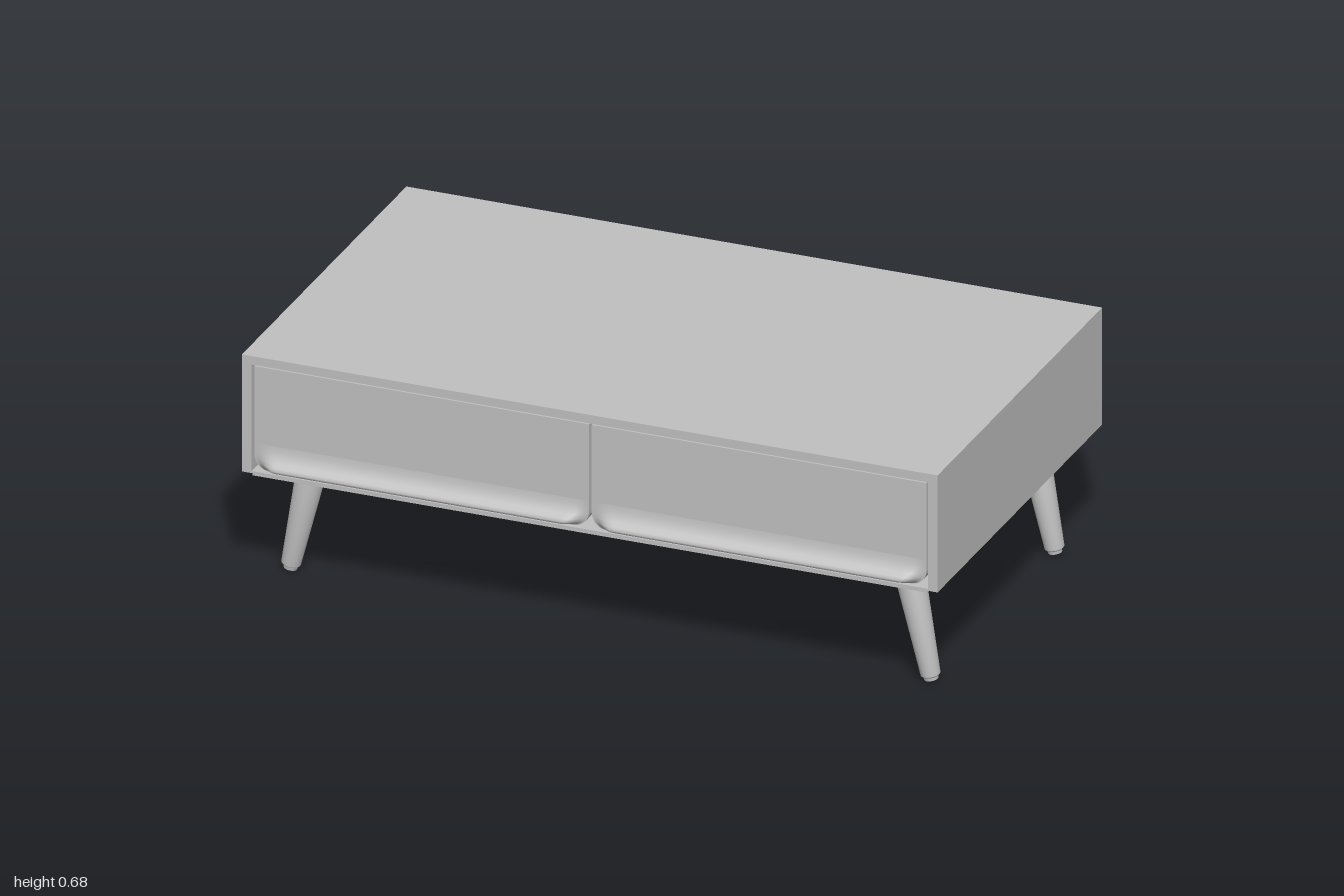
import * as THREE from 'three';

export function createModel() {
  const model = new THREE.Group();
  const grey = new THREE.MeshStandardMaterial({ color: 0xc0c0c0 });
  grey.name = 'plain grey';
  grey.side = THREE.DoubleSide;

  const add = (parent, name, geometry, x = 0, y = 0, z = 0) => {
    const mesh = new THREE.Mesh(geometry, grey);
    mesh.name = name;
    mesh.position.set(x, y, z);
    parent.add(mesh);
    return mesh;
  };
  const box = (parent, name, w, h, d, x, y, z) =>
    add(parent, name, new THREE.BoxGeometry(w, h, d), x, y, z);

  // Case: four-sided tube, open at the front, with a back panel
  const BOTTOM = 0.332, TOP = 0.675, FRONT = 0.56, BACK = -0.585;
  const outline = new THREE.Shape([[-1, BOTTOM], [1, BOTTOM], [1, TOP], [-1, TOP]]
    .map(p => new THREE.Vector2(...p)));
  outline.holes.push(new THREE.Path([[-0.972, 0.338], [-0.972, 0.65], [0.972, 0.65], [0.972, 0.338]]
    .map(p => new THREE.Vector2(...p))));
  add(model, 'caseShell',
    new THREE.ExtrudeGeometry(outline, { depth: FRONT - BACK, bevelEnabled: false }), 0, 0, BACK);
  box(model, 'backPanel', 1.944, 0.312, 0.02, 0, 0.494, BACK + 0.011);
  box(model, 'bottomPanel', 1.94, 0.008, 1.1, 0, 0.329, 0.008);

  // Drawer front: a slab with rounded lower corners and a flared finger lip
  const W = 0.962, Y0 = 0.343, Y1 = 0.645, R = 0.045, FACE = 0.556;
  const slab = new THREE.Shape();
  slab.moveTo(-W / 2, Y1);
  slab.lineTo(-W / 2, Y0 + R);
  slab.absarc(-W / 2 + R, Y0 + R, R, Math.PI, Math.PI * 1.5, false);
  slab.lineTo(W / 2 - R, Y0);
  slab.absarc(W / 2 - R, Y0 + R, R, Math.PI * 1.5, Math.PI * 2, false);
  slab.lineTo(W / 2, Y1);
  const slabGeometry = new THREE.ExtrudeGeometry(slab, { depth: 0.03, bevelEnabled: false, curveSegments: 10 });

  // Lip profile as [height, projection], from the face down to the lower edge
  const profile = [[0.42, 0.0003], [0.405, 0.002], [0.39, 0.007], [0.378, 0.014],
    [0.366, 0.023], [0.358, 0.027], [0.352, 0.025], [0.347, 0.016], [Y0, 0]];
  const columns = 48;
  const lipGeometry = new THREE.PlaneGeometry(1, 1, columns, profile.length - 1);
  const pos = lipGeometry.attributes.position;
  for (let i = 0; i < pos.count; i++) {
    const [y, out] = profile[Math.floor(i / (columns + 1))];
    const t = (i % (columns + 1)) / columns * 2 - 1;
    const dy = Math.max(0, Y0 + R - y);
    const half = W / 2 - R + Math.sqrt(Math.max(0, R * R - dy * dy));
    // columns crowd towards the ends, where the lip dies into the face
    const x = Math.sin(t * Math.PI / 2) * half;
    const fade = THREE.MathUtils.smoothstep(half - Math.abs(x), 0, 0.05);
    pos.setXYZ(i, x, y, FACE + out * fade);
  }
  lipGeometry.computeVertexNormals();

  for (const side of [-1, 1]) {
    const drawer = new THREE.Group();
    drawer.name = side < 0 ? 'rightDrawer' : 'leftDrawer';
    drawer.position.x = side * 0.485;
    model.add(drawer);
    add(drawer, 'drawerFront', slabGeometry, 0, 0, FACE - 0.03);
    add(drawer, 'drawerLip', lipGeometry);
    box(drawer, 'drawerBody', 0.9, 0.24, 1.0, 0, 0.5, 0.02);
  }

  // Legs: splayed tapered cones with a foot pad and a screwed mounting plate
  const splay = Math.atan2(0.067, 0.32);
  const length = 0.325;
  const legGeometry = new THREE.LatheGeometry([[0, -length / 2], [0.02, -length / 2],
    [0.027, -length / 2 + 0.006], [0.043, length / 2], [0, length / 2]]
    .map(p => new THREE.Vector2(...p)), 28);
  for (const side of [-1, 1]) {
    for (const z of [0.413, -0.45]) {
      const leg = new THREE.Group();
      leg.name = (z > 0 ? 'front' : 'back') + (side < 0 ? 'RightLeg' : 'LeftLeg');
      leg.position.z = z;
      model.add(leg);
      add(leg, 'taperedLeg', legGeometry, side * 0.887, 0.17, 0).rotation.z = side * splay;
      add(leg, 'footPad', new THREE.CylinderGeometry(0.021, 0.019, 0.012, 20),
        side * 0.92, 0.008, 0).rotation.z = side * splay;
      box(leg, 'mountPlate', 0.12, 0.004, 0.12, side * 0.853, 0.3235, 0);
      for (const sx of [-1, 1]) for (const sz of [-1, 1])
        add(leg, 'screw', new THREE.CylinderGeometry(0.008, 0.006, 0.004, 10),
          side * 0.853 + sx * 0.047, 0.32, sz * 0.047);
    }
  }
  return model;
}
